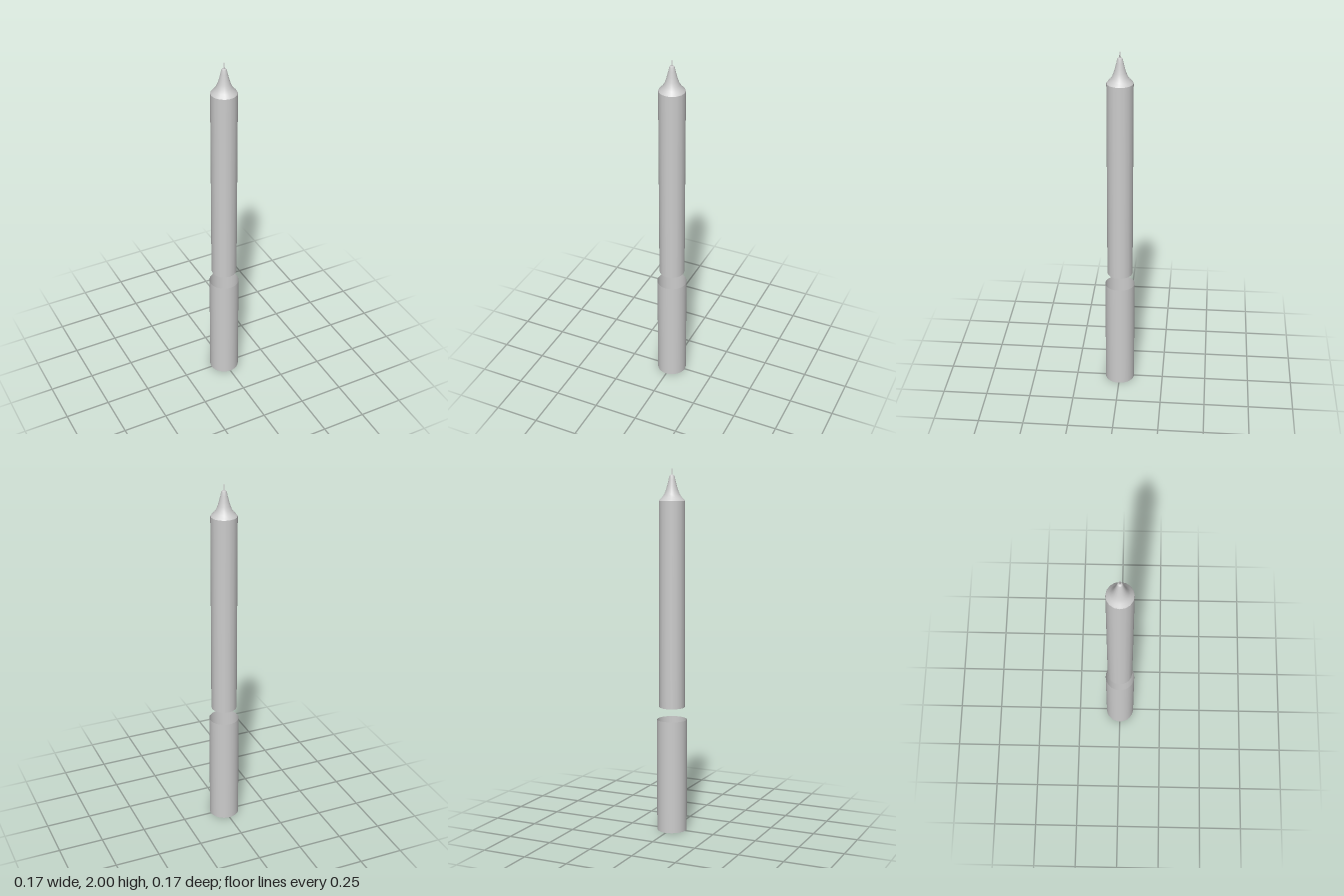
import * as THREE from 'three';

const SIDES = 16;

export function createModel() {
  const group = new THREE.Group();
  const grey = new THREE.MeshStandardMaterial({ color: 0xcccccc, side: THREE.DoubleSide });
  grey.name = 'light grey';

  const add = (name, geometry, y = 0) => {
    const mesh = new THREE.Mesh(geometry, grey);
    mesh.name = name;
    mesh.position.y = y;
    group.add(mesh);
    return mesh;
  };
  const lathe = (points, sides = SIDES) =>
    new THREE.LatheGeometry(points.map(([r, y]) => new THREE.Vector2(r, y)), sides);

  // Thin open tube at the foot
  add('sleeve', new THREE.CylinderGeometry(0.083, 0.083, 0.63, 32, 1, true), 0.315);

  // Long shaft floating above the sleeve, closed underneath
  add('shaft', lathe([[0.071, 0.7], [0.071, 1.83]]));
  const base = add('shaftBase', new THREE.CircleGeometry(0.071, SIDES), 0.7);
  base.rotation.x = Math.PI / 2;

  // Concave taper from the shoulder to the tip
  add('taper', lathe([
    [0.071, 1.83], [0.065, 1.838], [0.053, 1.85], [0.042, 1.866], [0.033, 1.888],
    [0.026, 1.912], [0.019, 1.94], [0.014, 1.962], [0.010, 1.968], [0, 1.969],
  ]));

  // Short wick
  add('wick', new THREE.CylinderGeometry(0.0035, 0.004, 0.035, 8), 1.9825);

  return group;
}
